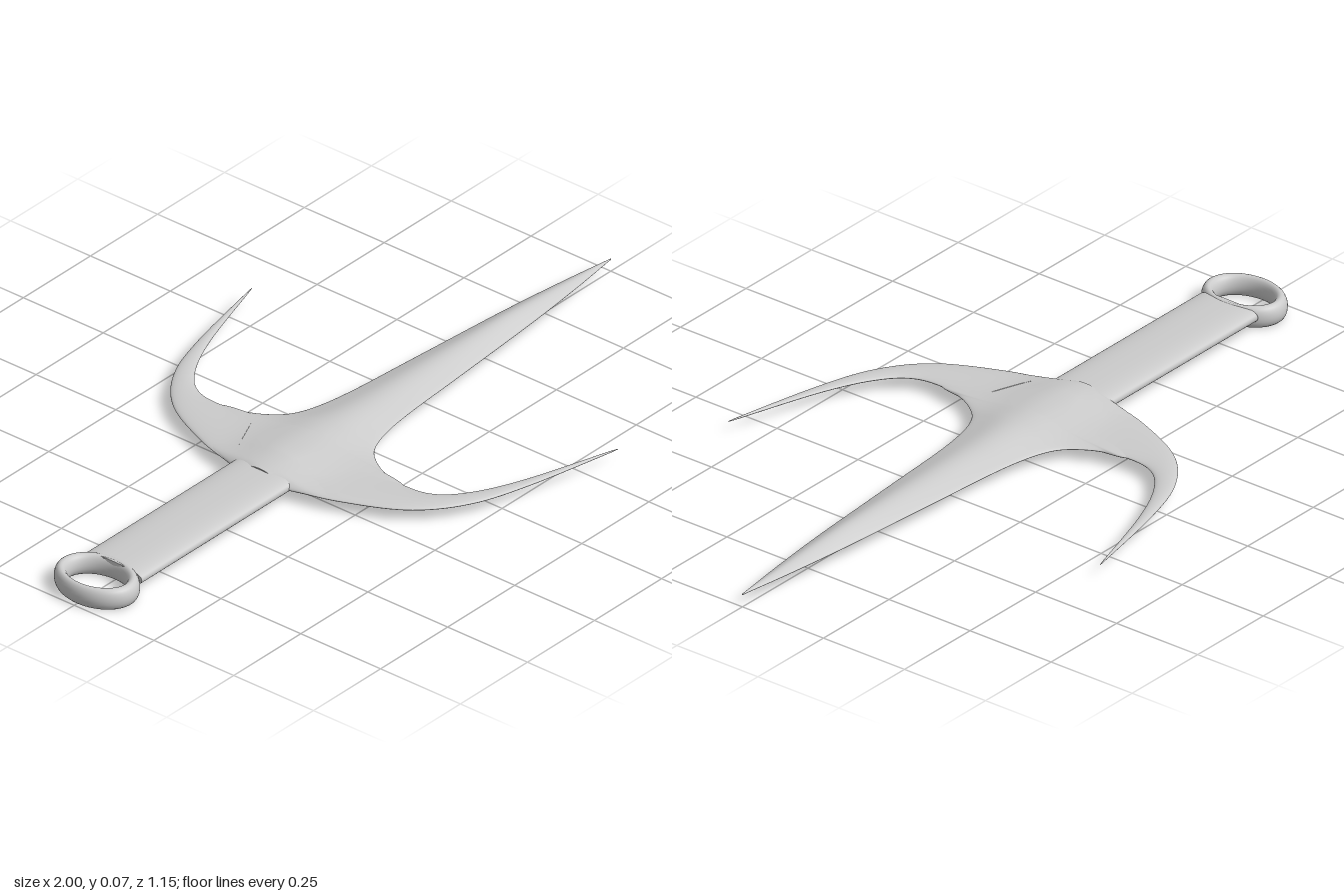
import * as THREE from 'three';

const MID = 0.034; // height of the thin edges

// Closed skin over cross-section rings, with end caps; faces are turned outward.
function loft(rings) {
  const m = rings[0].length, pos = rings.flat(2), idx = [];
  for (let i = 0; i < rings.length - 1; i++) {
    for (let j = 0; j < m; j++) {
      const a = i * m + j, b = i * m + (j + 1) % m;
      idx.push(a, b, b + m, a, b + m, a + m);
    }
  }
  // flat caps with their own vertices, so the end edges stay crisp
  for (const [ring, flip] of [[rings[0], true], [rings[rings.length - 1], false]]) {
    const s = pos.length / 3;
    pos.push(...ring.flat());
    for (let j = 1; j < m - 1; j++) idx.push(s, s + (flip ? j + 1 : j), s + (flip ? j : j + 1));
  }
  let vol = 0;
  const p = (k) => new THREE.Vector3().fromArray(pos, k * 3);
  for (let k = 0; k < idx.length; k += 3) vol += p(idx[k]).dot(p(idx[k + 1]).cross(p(idx[k + 2])));
  if (vol < 0) idx.reverse();
  const g = new THREE.BufferGeometry();
  g.setAttribute('position', new THREE.Float32BufferAttribute(pos, 3));
  g.setIndex(idx);
  g.computeVertexNormals();
  return g;
}

const curve2 = (pts) => new THREE.SplineCurve(pts.map(([x, y]) => new THREE.Vector2(x, y)));

// Linear lookup in a list of [x, value] pairs
function lookup(table, x) {
  for (let i = 1; i < table.length; i++) {
    if (x <= table[i][0]) {
      const [x0, v0] = table[i - 1], [x1, v1] = table[i];
      return THREE.MathUtils.lerp(v0, v1, Math.max(0, (x - x0) / (x1 - x0)));
    }
  }
  return table[table.length - 1][1];
}

// Height of the raised spine along the blade
const SPINE = [[-0.31, 0.014], [-0.23, 0.028], [-0.1, 0.026], [0.1, 0.016], [0.6, 0.013], [0.85, 0.004], [1, 0]];
const spineAt = (x, z, sigma) => lookup(SPINE, x) * Math.exp(-((z / sigma) ** 2));

// Lens-shaped ring between two plan points, thin at the edges
function lensRing(a, b, thick, sigma, n = 40) {
  const ring = [];
  for (let j = 0; j < n; j++) {
    const t = j / n * Math.PI * 2, v = Math.cos(t), s = Math.sin(t);
    const x = THREE.MathUtils.lerp(a.x, b.x, (v + 1) / 2);
    const z = THREE.MathUtils.lerp(a.y, b.y, (v + 1) / 2);
    const rise = s > 0 ? spineAt(x, z, sigma) * (1 - v ** 4) : 0;
    ring.push([x, MID + s * thick * (s > 0 ? 1 : 0.8) + rise, z]);
  }
  return ring;
}

export function createModel() {
  const group = new THREE.Group();
  const material = new THREE.MeshStandardMaterial({ color: 0xcccccc });
  const add = (geometry, name) => {
    const mesh = new THREE.Mesh(geometry, material);
    mesh.name = name;
    group.add(mesh);
    return mesh;
  };

  // Central blade, flaring into the hub at the back
  const outline = curve2([[-0.308, 0.085], [-0.272, 0.205], [-0.225, 0.3], [-0.175, 0.345], [-0.115, 0.29],
    [-0.1, 0.22], [-0.07, 0.165], [-0.03, 0.127], [0.04, 0.102], [0.15, 0.085], [0.35, 0.069],
    [0.65, 0.044], [0.85, 0.022], [1, 0.001]]);
  const blade = [];
  for (let i = 0; i <= 90; i++) {
    const p = outline.getPoint(i / 90);
    const thick = Math.min(0.011, 0.002 + p.y * 0.2);
    blade.push(lensRing(new THREE.Vector2(p.x, -p.y), p, thick, Math.max(0.003, Math.min(0.1, p.y * 0.7))));
  }
  add(loft(blade), 'centralBlade');

  // Curved side prongs, between an outer and an inner edge
  const outer = curve2([[-0.306, 0.09], [-0.272, 0.21], [-0.195, 0.365], [-0.08, 0.462], [0.08, 0.518], [0.345, 0.574]]);
  const inner = curve2([[-0.09, 0.19], [-0.111, 0.26], [-0.105, 0.355], [-0.045, 0.425], [0.09, 0.492], [0.343, 0.572]]);
  for (const side of [1, -1]) {
    const rings = [];
    for (let i = 0; i <= 48; i++) {
      const t = i / 48, a = outer.getPoint(t), b = inner.getPoint(t);
      a.y *= side;
      b.y *= side;
      rings.push(lensRing(a, b, 0.0105 * Math.sqrt(1 - t) + 0.001, 0.1, 28));
    }
    add(loft(rings), side > 0 ? 'frontProng' : 'backProng');
  }

  // Flattened handle with rounded sides, ending under the hub
  const handle = [-0.855, -0.6, -0.4, -0.2].map((x) => {
    const ring = [];
    for (let j = 0; j < 40; j++) {
      const t = j / 40 * Math.PI * 2, c = Math.cos(t), s = Math.sin(t);
      ring.push([x, 0.036 + Math.sign(s) * Math.abs(s) ** 0.75 * 0.02, Math.sign(c) * Math.abs(c) ** 0.75 * 0.09]);
    }
    return ring;
  });
  add(loft(handle), 'handle');

  // Oval ring at the end of the handle
  const ringGeometry = new THREE.TorusGeometry(0.84, 0.16, 20, 56);
  ringGeometry.rotateX(Math.PI / 2);
  ringGeometry.scale(0.085, 0.18, 0.115);
  add(ringGeometry, 'pommelRing').position.set(-0.915, 0.029, 0);

  return group;
}
